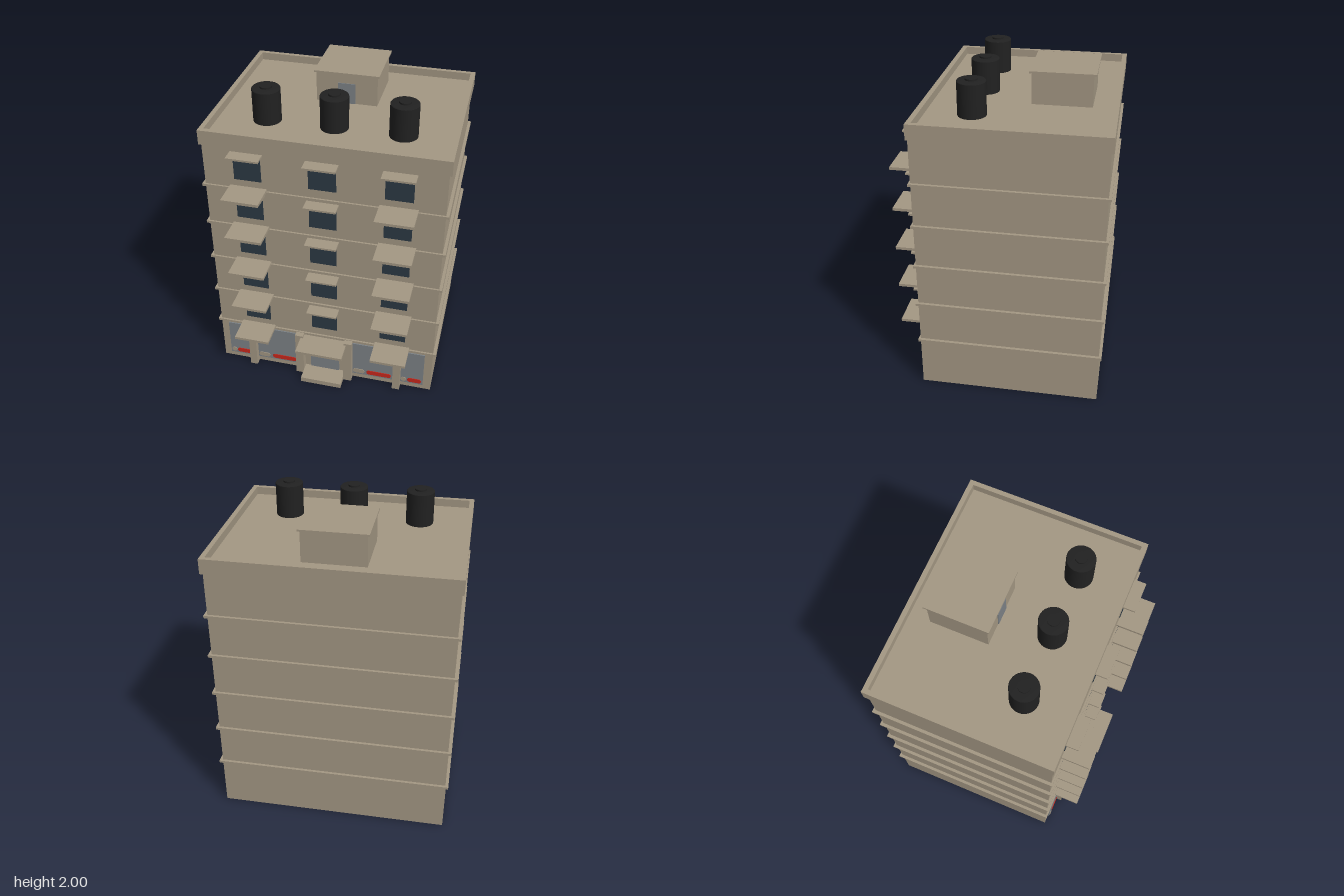
import * as THREE from 'three';

const mat = (name, color) => {
  const m = new THREE.MeshStandardMaterial({ color });
  m.name = name;
  return m;
};

export function createModel() {
  const model = new THREE.Group();
  model.name = 'apartmentBlock';
  const wall = mat('wall', 0xa39783);
  const darkGlass = mat('darkGlass', 0x2c3944);
  const shopGlass = mat('shopGlass', 0x7d8286);
  const tankBlack = mat('tankBlack', 0x212121);
  const red = mat('red', 0xc9281c);

  // Box given by its limits on each axis
  const box = (name, m, x0, x1, y0, y1, z0, z1, parent = model) => {
    const mesh = new THREE.Mesh(new THREE.BoxGeometry(x1 - x0, y1 - y0, z1 - z0), m);
    mesh.position.set((x0 + x1) / 2, (y0 + y1) / 2, (z0 + z1) / 2);
    mesh.name = name;
    parent.add(mesh);
    return mesh;
  };

  // Main block; its top is the flat roof
  box('body', wall, -0.735, 0.735, 0, 1.775, -0.65, 0.49);

  // Parapet: rectangular ring around the roof
  const rect = (s, x, z0, z1) => {
    s.moveTo(-x, -z0); s.lineTo(-x, -z1); s.lineTo(x, -z1); s.lineTo(x, -z0);
    s.closePath();
    return s;
  };
  const ring = rect(new THREE.Shape(), 0.75, -0.665, 0.499);
  ring.holes.push(rect(new THREE.Path(), 0.72, -0.635, 0.467));
  const parapet = new THREE.Mesh(
    new THREE.ExtrudeGeometry(ring, { depth: 0.095, bevelEnabled: false }), wall);
  parapet.rotation.x = -Math.PI / 2;
  parapet.position.y = 1.73;
  parapet.name = 'parapet';
  model.add(parapet);

  // Five storeys: ledge, windows with stepped hoods, side balcony slabs
  for (let i = 0; i < 5; i++) {
    const floor = new THREE.Group();
    floor.name = 'storey' + (i + 1);
    floor.position.y = i * 0.2775;
    model.add(floor);
    box('ledge', wall, -0.754, 0.754, 0.33, 0.346, -0.667, 0.502, floor);
    for (const x of [-0.46, 0, 0.46]) {
      box('window', darkGlass, x - 0.085, x + 0.085, 0.406, 0.572, 0.487, 0.494, floor);
      box('hoodBase', wall, x - 0.09, x + 0.09, 0.572, 0.584, 0.48, 0.538, floor);
      box('hoodTop', wall, x - 0.1, x + 0.1, 0.584, 0.596, 0.48, 0.573, floor);
      if (x) box('balconySlab', wall, x - 0.116, x + 0.116, 0.342, 0.36, 0.48, 0.664, floor);
    }
  }

  // Ground floor shop fronts and pillars, mirrored
  for (const s of [-1, 1]) {
    const span = (name, m, a, b, y0, y1, z0, z1) =>
      box(name, m, Math.min(s * a, s * b), Math.max(s * a, s * b), y0, y1, z0, z1);
    span('shopWindow', shopGlass, 0.17, 0.683, 0.043, 0.32, 0.493, 0.501);
    span('outerPillar', wall, 0.48, 0.53, 0, 0.342, 0.48, 0.539);
    span('innerPillar', wall, 0.14, 0.195, 0, 0.342, 0.48, 0.539);
  }

  // Rounded strips low on the shop windows
  const strip = (name, m, x0, x1) => {
    const r = 0.017, shape = new THREE.Shape();
    shape.absarc(x1 - r, 0, r, -Math.PI / 2, Math.PI / 2);
    shape.absarc(x0 + r, 0, r, Math.PI / 2, Math.PI * 1.5);
    const mesh = new THREE.Mesh(
      new THREE.ExtrudeGeometry(shape, { depth: 0.005, bevelEnabled: false, curveSegments: 5 }), m);
    mesh.position.set(0, 0.073, 0.5);
    mesh.name = name;
    model.add(mesh);
  };
  for (const [a, b] of [[-0.635, -0.535], [-0.375, -0.205], [0.295, 0.465], [0.578, 0.672]])
    strip('redStrip', red, a, b);
  for (const [a, b] of [[-0.675, -0.64], [-0.475, -0.395], [0.2, 0.28], [0.533, 0.57]])
    strip('paleStrip', wall, a, b);

  // Entrance: door, step and canopy
  box('entranceDoor', shopGlass, -0.1, 0.1, 0.035, 0.255, 0.488, 0.496);
  box('entranceStep', wall, -0.139, 0.139, 0, 0.035, 0.48, 0.621);
  box('entranceCanopy', wall, -0.157, 0.157, 0.31, 0.328, 0.48, 0.667);

  // Rooftop stair house
  box('stairHouse', wall, -0.195, 0.195, 1.77, 1.975, -0.504, -0.133);
  box('stairHouseRoof', wall, -0.207, 0.207, 1.972, 1.984, -0.521, -0.117);
  box('stairHouseDoor', shopGlass, -0.055, 0.055, 1.775, 1.91, -0.134, -0.128);

  // Water tanks with a raised lid
  const profile = [[0, 1.77], [0.087, 1.77], [0.087, 1.77], [0.087, 1.983], [0.087, 1.983],
    [0.083, 1.988], [0.037, 1.99], [0.037, 1.99], [0.037, 2], [0.037, 2], [0, 2]];
  const tankGeo = new THREE.LatheGeometry(profile.map(p => new THREE.Vector2(...p)), 32);
  for (const x of [-0.42, 0, 0.42]) {
    const tank = new THREE.Mesh(tankGeo, tankBlack);
    tank.position.set(x, 0, 0.185);
    tank.name = 'waterTank';
    model.add(tank);
  }
  return model;
}
